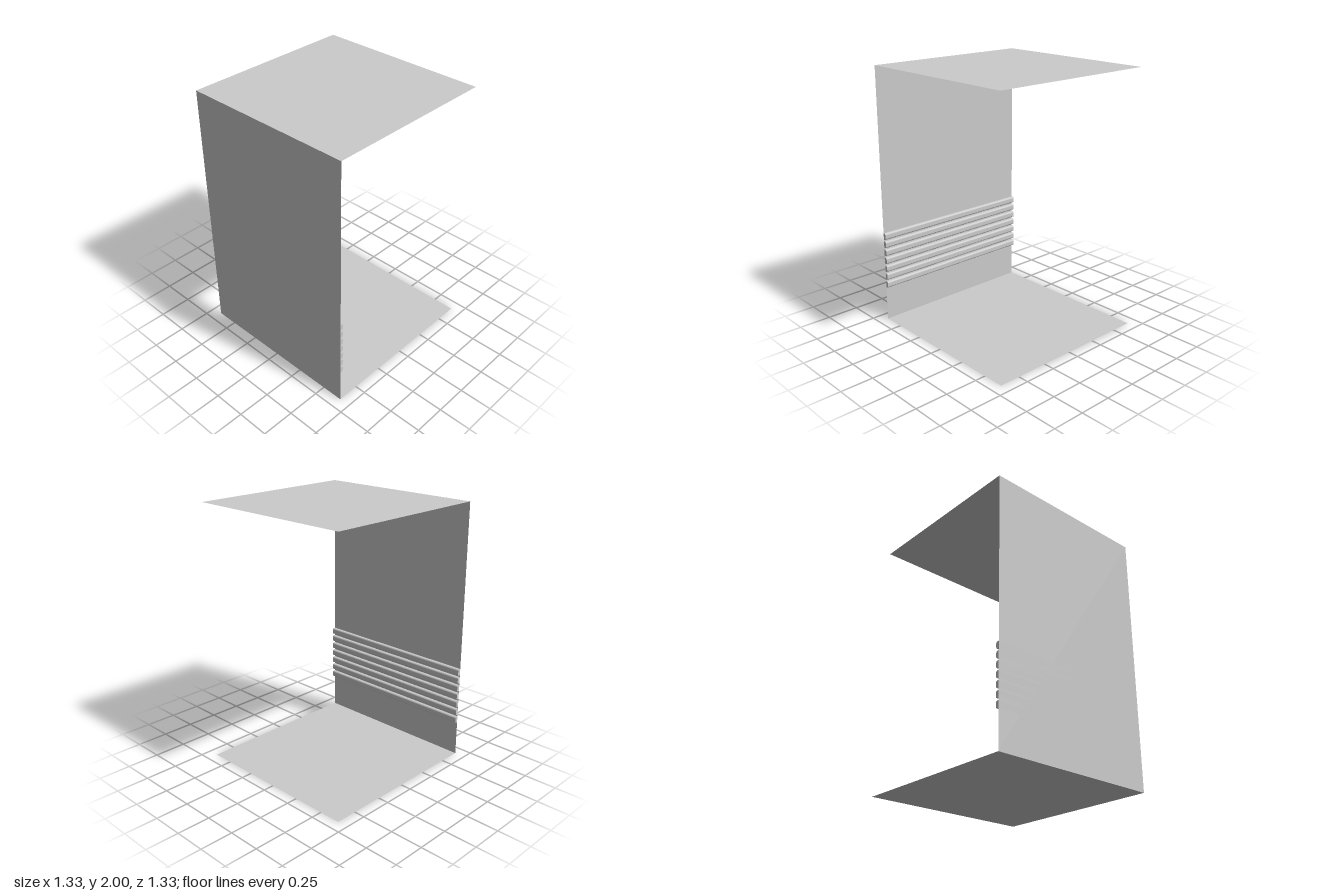
import * as THREE from 'three';

const HALF = 2 / 3; // half of the square footprint
const HEIGHT = 2;

export function createModel() {
  const group = new THREE.Group();
  const sheetMaterial = new THREE.MeshStandardMaterial({ color: 0xcccccc, side: THREE.DoubleSide });
  const railMaterial = new THREE.MeshStandardMaterial({ color: 0xcccccc });

  const add = (name, geometry, material, x, y, z) => {
    const mesh = new THREE.Mesh(geometry, material);
    mesh.name = name;
    mesh.position.set(x, y, z);
    group.add(mesh);
  };

  // Thin sheets: floor, ceiling and front wall
  const slab = new THREE.PlaneGeometry(2 * HALF, 2 * HALF).rotateX(-Math.PI / 2);
  add('floor', slab, sheetMaterial, 0, 0, 0);
  add('ceiling', slab, sheetMaterial, 0, HEIGHT, 0);
  add('frontWall', new THREE.PlaneGeometry(2 * HALF, HEIGHT), sheetMaterial, 0, HEIGHT / 2, HALF);

  // Rail profile: flat against the wall, rounded corners on the inner side
  const depth = 0.024, h = 0.026, r = 0.014;
  const profile = new THREE.Shape();
  profile.moveTo(0, -h);
  profile.lineTo(depth - r, -h);
  profile.absarc(depth - r, -h + r, r, -Math.PI / 2, 0, false);
  profile.absarc(depth - r, h - r, r, 0, Math.PI / 2, false);
  profile.lineTo(0, h);
  profile.closePath();
  const rail = new THREE.ExtrudeGeometry(profile, { depth: 2 * HALF, bevelEnabled: false, curveSegments: 4 })
    .translate(0, 0, -HALF)
    .rotateY(Math.PI / 2);

  // Seven horizontal rails on the inside of the front wall
  for (let i = 0; i < 7; i++) {
    add(`wallRail${i + 1}`, rail, railMaterial, 0, 0.297 + i * 0.0665, HALF);
  }
  return group;
}
